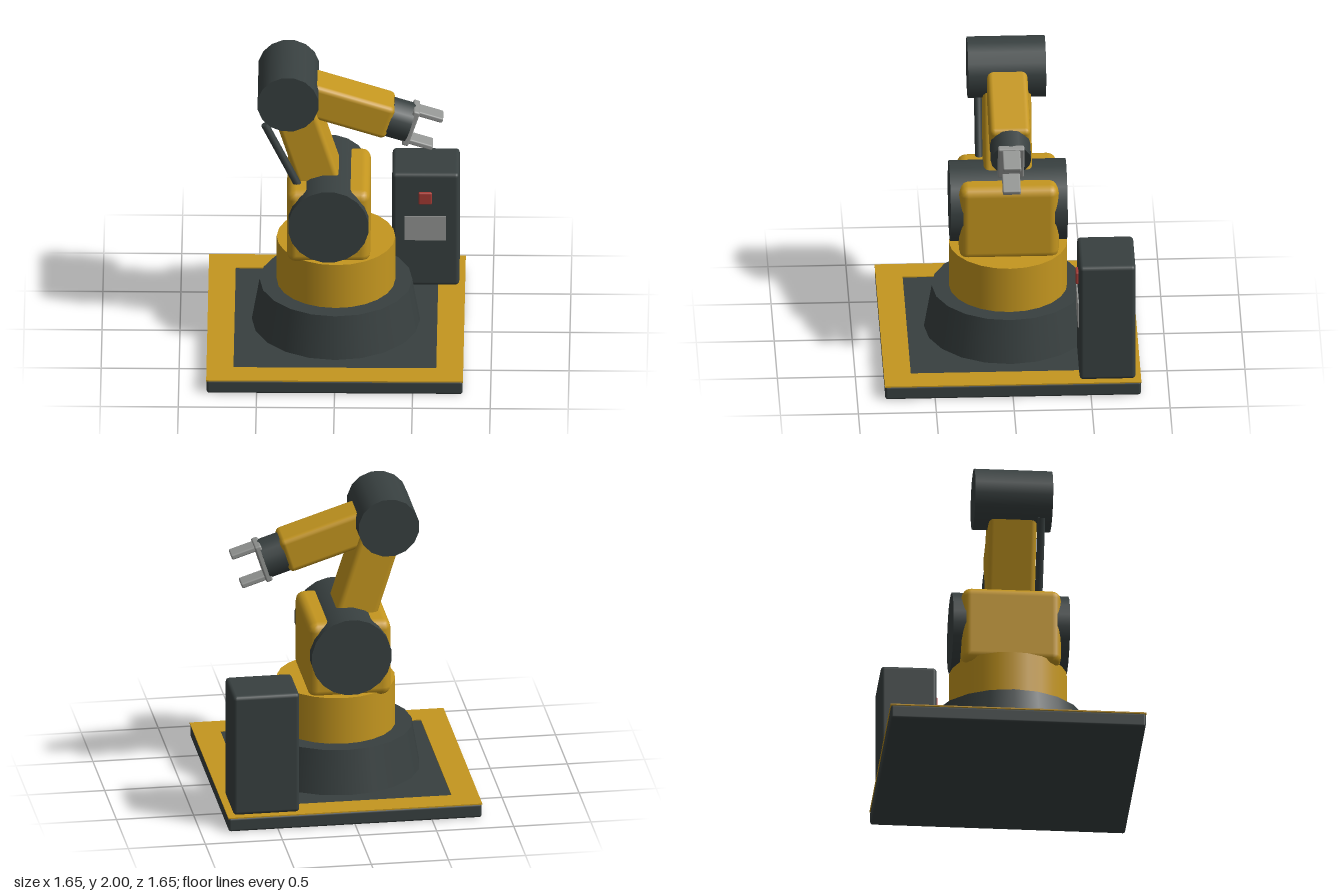
import * as THREE from 'three';
import { RoundedBoxGeometry } from 'three/addons/geometries/RoundedBoxGeometry.js';

const mat = (name, color) => {
  const m = new THREE.MeshStandardMaterial({ color });
  m.name = name;
  return m;
};

export function createModel() {
  const yellow = mat('yellow paint', 0xc4961f);
  const dark = mat('dark metal', 0x384040);
  const grey = mat('light grey metal', 0x949694);
  const red = mat('red button', 0xa63a34);
  const model = new THREE.Group();
  model.name = 'robotArm';

  const add = (parent, name, geometry, material, x, y, z) => {
    const mesh = new THREE.Mesh(geometry, material);
    mesh.name = name;
    mesh.position.set(x, y, z);
    parent.add(mesh);
    return mesh;
  };
  const box = (w, h, d, r) => new RoundedBoxGeometry(w, h, d, 2, r);
  // Drum lying along z
  const drum = (r, length, sides) =>
    new THREE.CylinderGeometry(r, r, length, sides, 1, false, Math.PI / sides).rotateX(Math.PI / 2);

  // Base slab with painted border
  add(model, 'baseSlab', box(1.64, 0.092, 1.64, 0.015), dark, 0, 0.046, 0);
  const square = (path, s) => path.moveTo(-s, -s).lineTo(s, -s).lineTo(s, s).lineTo(-s, s).closePath();
  const border = new THREE.Shape();
  square(border, 0.823);
  const opening = new THREE.Path();
  square(opening, 0.65);
  border.holes.push(opening);
  const borderGeo = new THREE.ExtrudeGeometry(border, { depth: 0.008, bevelEnabled: false }).rotateX(-Math.PI / 2);
  add(model, 'baseBorder', borderGeo, yellow, 0, 0.09, 0);

  // Pedestal and turntable
  add(model, 'pedestal', new THREE.CylinderGeometry(0.49, 0.54, 0.295, 20), dark, 0, 0.2375, 0);
  add(model, 'turntable', new THREE.CylinderGeometry(0.38, 0.38, 0.32, 24), yellow, 0, 0.54, 0);

  // Shoulder
  add(model, 'shoulderHousing', box(0.535, 0.52, 0.64, 0.06), yellow, -0.045, 0.93, 0);
  add(model, 'shoulderDrum', drum(0.26, 0.75, 20), dark, -0.045, 0.975, 0);

  // Upper arm
  const shoulder = new THREE.Vector2(-0.045, 0.975);
  const elbow = new THREE.Vector2(-0.305, 1.805);
  const span = elbow.clone().sub(shoulder);
  const middle = shoulder.clone().add(elbow).multiplyScalar(0.5);
  const upperArm = add(model, 'upperArm', box(0.27, span.length(), 0.31, 0.035), yellow, middle.x, middle.y, 0);
  upperArm.rotation.z = Math.atan2(-span.x, span.y);
  add(model, 'elbowDrum', drum(0.198, 0.5, 16), dark, elbow.x, elbow.y, 0);

  // Balance rod beside the upper arm
  const rodTop = new THREE.Vector2(-0.455, 1.62);
  const rodEnd = new THREE.Vector2(-0.205, 1.1);
  const rodSpan = rodTop.clone().sub(rodEnd);
  const rod = add(model, 'balanceRod', new THREE.CylinderGeometry(0.025, 0.025, rodSpan.length(), 10), dark,
    (rodTop.x + rodEnd.x) / 2, (rodTop.y + rodEnd.y) / 2, 0.177);
  rod.rotation.z = Math.atan2(-rodSpan.x, rodSpan.y);

  // Forearm, wrist and gripper, laid out along local x
  const forearm = new THREE.Group();
  forearm.name = 'forearmAssembly';
  forearm.position.set(elbow.x, elbow.y, 0);
  forearm.rotation.z = THREE.MathUtils.degToRad(-18);
  model.add(forearm);
  add(forearm, 'forearm', box(0.69, 0.235, 0.26, 0.035), yellow, 0.345, -0.003, 0);
  const wristGeo = new THREE.CylinderGeometry(0.13, 0.13, 0.14, 16).rotateZ(Math.PI / 2);
  add(forearm, 'wrist', wristGeo, dark, 0.75, -0.01, 0);
  add(forearm, 'gripperPlate', box(0.045, 0.26, 0.17, 0.012), grey, 0.83, -0.012, 0);
  for (const side of [1, -1]) {
    add(forearm, side > 0 ? 'upperFinger' : 'lowerFinger', box(0.17, 0.035, 0.116, 0.01), grey,
      0.926, -0.013 + side * 0.106, 0);
  }

  // Control cabinet
  add(model, 'controlCabinet', box(0.43, 0.82, 0.36, 0.025), dark, 0.57, 0.506, -0.608);
  add(model, 'cabinetPanel', new THREE.BoxGeometry(0.265, 0.175, 0.009), grey, 0.567, 0.523, -0.424);
  add(model, 'stopButton', box(0.085, 0.085, 0.03, 0.008), red, 0.567, 0.743, -0.425);

  return model;
}
